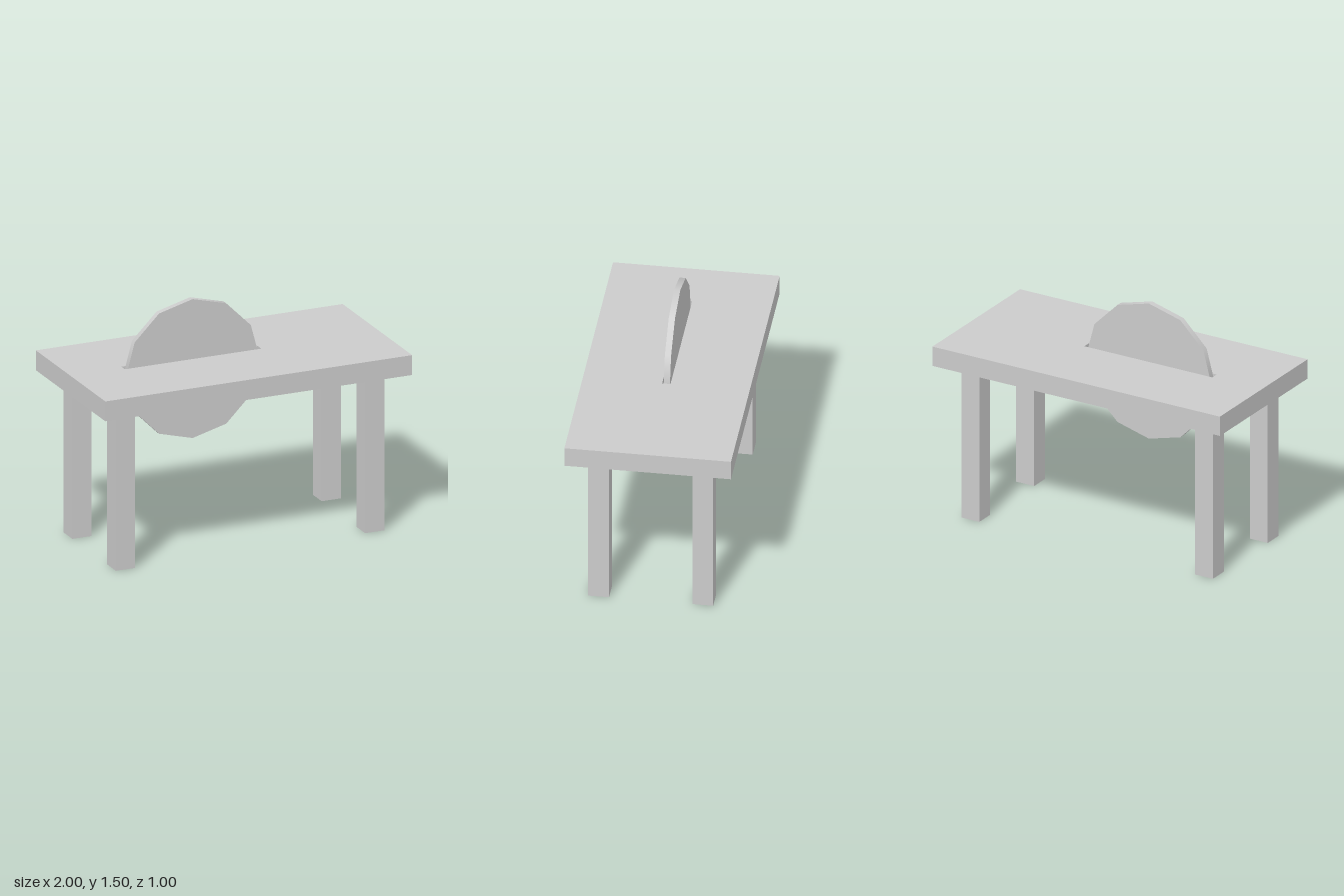
import * as THREE from 'three';

const material = new THREE.MeshStandardMaterial({ color: 0xcccccc });

function addPart(parent, name, geometry, x, y, z) {
  const mesh = new THREE.Mesh(geometry, material);
  mesh.name = name;
  mesh.position.set(x, y, z);
  parent.add(mesh);
  return mesh;
}

// Closed rectangle centred on (cx, 0)
function rectangle(target, cx, width, depth) {
  const w = width / 2, d = depth / 2;
  target.moveTo(cx - w, -d);
  target.lineTo(cx + w, -d);
  target.lineTo(cx + w, d);
  target.lineTo(cx - w, d);
  target.closePath();
  return target;
}

export function createModel() {
  const group = new THREE.Group();
  group.name = 'tableSaw';

  const bladeX = -0.2125, bladeRadius = 0.4375;
  const legHeight = 1, topThickness = 0.125;

  // Table top with a slot cut through for the blade
  const outline = rectangle(new THREE.Shape(), 0, 2, 1);
  outline.holes.push(rectangle(new THREE.Path(), bladeX, 0.89, 0.05));
  const top = new THREE.ExtrudeGeometry(outline, { depth: topThickness, bevelEnabled: false });
  top.rotateX(-Math.PI / 2);
  addPart(group, 'tableTop', top, 0, legHeight, 0);

  // Twelve-sided blade standing upright in the slot
  const blade = new THREE.CylinderGeometry(bladeRadius, bladeRadius, 0.0375, 12);
  blade.rotateX(Math.PI / 2);
  addPart(group, 'sawBlade', blade, bladeX, legHeight + topThickness / 2, 0);

  // Four square legs
  const leg = new THREE.BoxGeometry(0.125, legHeight, 0.125);
  for (const [side, sx] of [['Left', 1], ['Right', -1]]) {
    for (const [end, sz] of [['front', 1], ['back', -1]]) {
      addPart(group, `${end}${side}Leg`, leg, sx * 0.8125, legHeight / 2, sz * 0.3125);
    }
  }

  return group;
}
